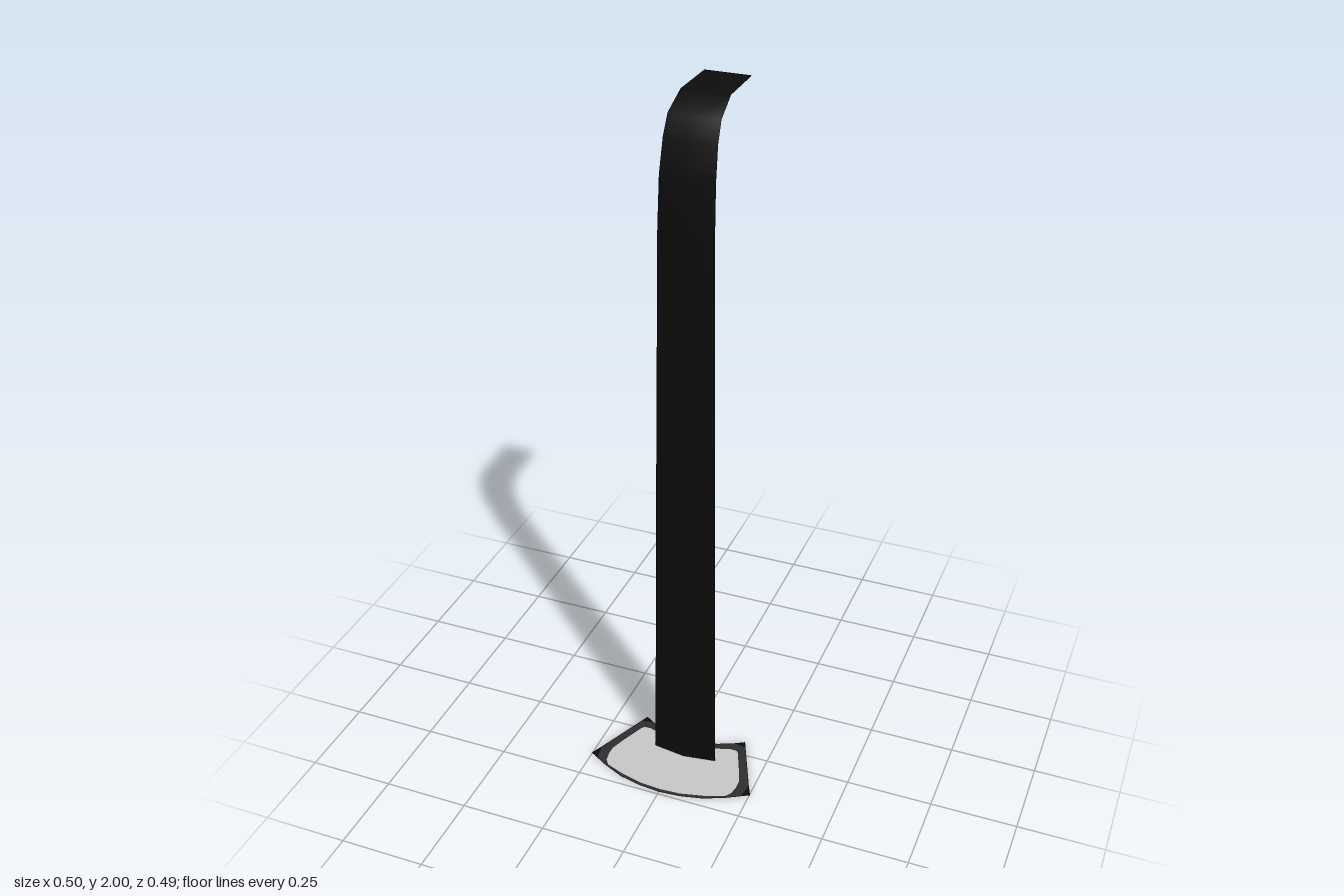
import * as THREE from 'three';

const strapBlack = new THREE.MeshStandardMaterial({ name: 'strapBlack', color: 0x0d0d0d, side: THREE.DoubleSide });
const borderGrey = new THREE.MeshStandardMaterial({ name: 'borderGrey', color: 0x2f2f2f, side: THREE.DoubleSide });
const panelGrey = new THREE.MeshStandardMaterial({ name: 'panelGrey', color: 0xcacaca, side: THREE.DoubleSide });

// Closed loop from its right half, given as [x, z] from front to back
function mirrored(half) {
  const left = half.filter(([x]) => x > 0).map(([x, z]) => [-x, z]).reverse();
  return [...half, ...left].map(([x, z]) => new THREE.Vector2(x, -z));
}

// Flat sheet lying on the ground, with an optional hole
function sheet(name, points, material, hole) {
  const shape = new THREE.Shape(points);
  if (hole) shape.holes.push(new THREE.Path(hole));
  const mesh = new THREE.Mesh(new THREE.ShapeGeometry(shape).rotateX(-Math.PI / 2), material);
  mesh.name = name;
  return mesh;
}

function createBase() {
  const base = new THREE.Group();
  base.name = 'base';
  const panel = mirrored([
    [0, 0.229], [0.06, 0.225], [0.13, 0.208], [0.185, 0.187], [0.198, 0.17], [0.203, 0.14],
    [0.202, 0.115], [0.19, 0.08], [0.157, 0], [0.15, -0.009], [0.13, -0.01], [0.1, 0], [0.06, 0.012], [0, 0.018],
  ]);
  const border = mirrored([
    [0, 0.241], [0.065, 0.235], [0.13, 0.22], [0.19, 0.193], [0.228, 0.171], [0.235, 0.12],
    [0.17, -0.032], [0.132, -0.039], [0.085, -0.018], [0.045, -0.007], [0, -0.003],
  ]);
  base.add(sheet('basePanel', panel, panelGrey), sheet('baseBorder', border, borderGrey, panel));

  // Dark corner tips
  const tips = {
    frontTip: [[0.228, 0.171], [0.252, 0.157], [0.235, 0.12]],
    backTip: [[0.17, -0.032], [0.16, -0.056], [0.132, -0.039]],
  };
  for (const [name, corners] of Object.entries(tips)) {
    for (const side of [1, -1]) {
      const points = corners.map(([x, z]) => new THREE.Vector2(side * x, -z));
      base.add(sheet(name, points, strapBlack));
    }
  }
  return base;
}

// Tapering strap with a shallow V section that flattens as it bends back
function createStrap() {
  const centreX = 0.009;
  // [edge z, y, half width, fold depth]
  const rows = [
    [0.056, 0, 0.096, 0.014], [0.051, 0.9, 0.086, 0.012], [0.044, 1.68, 0.077, 0.01],
    [0.035, 1.82, 0.075, 0.009], [0.015, 1.91, 0.072, 0.007], [-0.012, 1.963, 0.07, 0.004],
    [-0.088, 2, 0.066, 0], [-0.245, 2, 0.064, 0],
  ];
  const positions = [];
  const index = [];
  rows.forEach(([z, y, half, fold], i) => {
    for (const s of [-1, 0, 1]) positions.push(centreX + s * half, y, z + (s === 0 ? fold : 0));
    if (i === 0) return;
    for (let j = 0; j < 2; j++) {
      const a = (i - 1) * 3 + j;
      index.push(a, a + 1, a + 4, a, a + 4, a + 3);
    }
  });
  const geometry = new THREE.BufferGeometry();
  geometry.setAttribute('position', new THREE.Float32BufferAttribute(positions, 3));
  geometry.setIndex(index);
  geometry.computeVertexNormals();
  const strap = new THREE.Mesh(geometry, strapBlack);
  strap.name = 'strap';
  return strap;
}

export function createModel() {
  const model = new THREE.Group();
  model.name = 'hookedStrapOnBase';
  model.add(createBase(), createStrap());
  return model;
}
